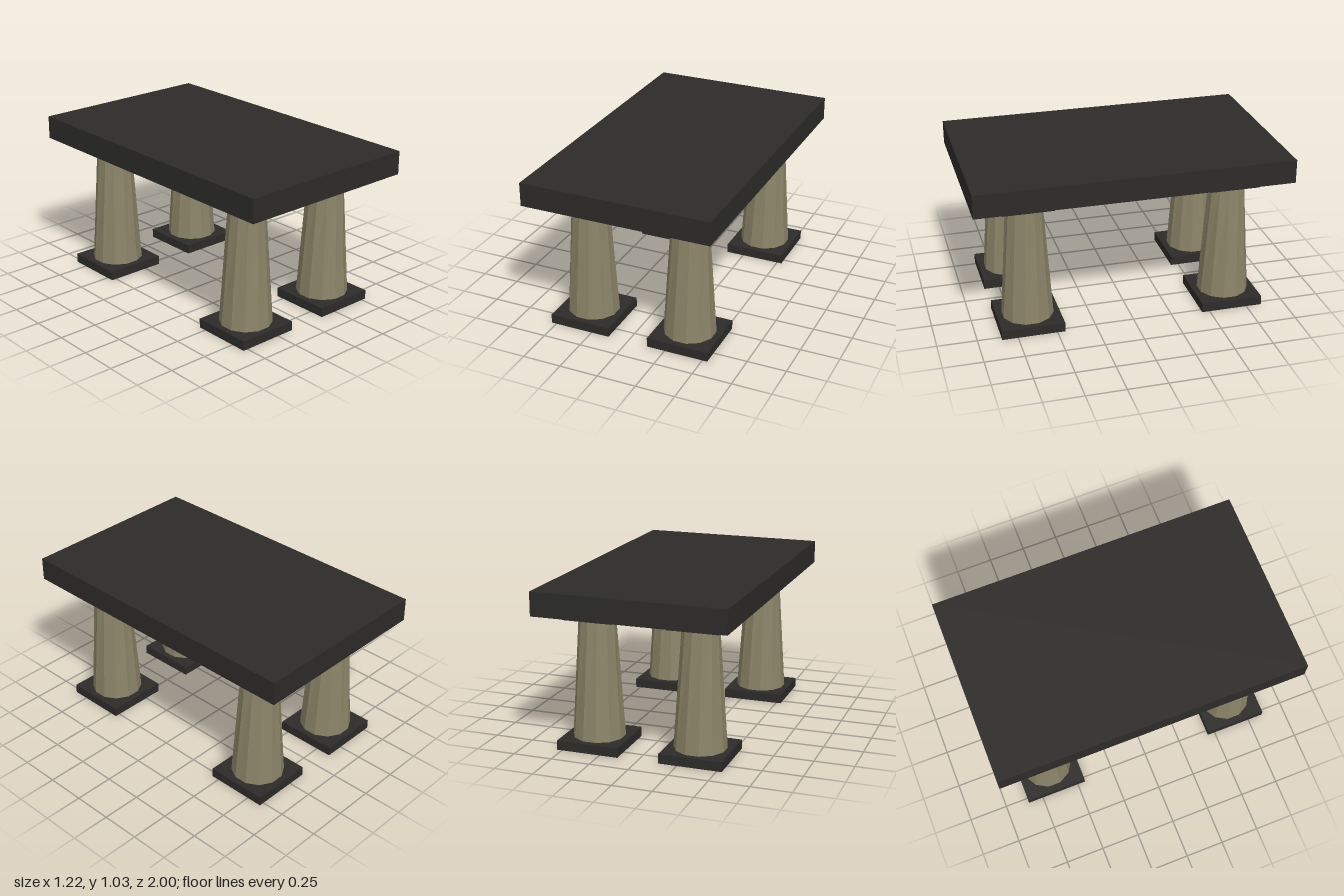
import * as THREE from 'three';

const dark = new THREE.MeshStandardMaterial({ color: 0x2c2b29, side: THREE.DoubleSide });
const stone = new THREE.MeshStandardMaterial({ color: 0x8c8468, flatShading: true });

function box(name, width, height, depth, bottom) {
  const mesh = new THREE.Mesh(new THREE.BoxGeometry(width, height, depth), dark);
  mesh.name = name;
  mesh.position.y = bottom + height / 2;
  return mesh;
}

// Tapered twelve-sided shaft whose top ring is turned slightly against its foot
function shaft() {
  const bottom = 0.06, top = 0.82, twist = THREE.MathUtils.degToRad(7);
  const geometry = new THREE.CylinderGeometry(0.114, 0.165, top - bottom, 12, 1, false, Math.PI / 12);
  const p = geometry.attributes.position;
  const v = new THREE.Vector3();
  const up = new THREE.Vector3(0, 1, 0);
  for (let i = 0; i < p.count; i++) {
    v.fromBufferAttribute(p, i);
    if (v.y > 0) v.applyAxisAngle(up, twist);
    p.setXYZ(i, v.x, v.y, v.z);
  }
  const mesh = new THREE.Mesh(geometry, stone);
  mesh.name = 'shaft';
  mesh.position.y = (bottom + top) / 2;
  return mesh;
}

// Foot plate, shaft and square capital
function column(name, x, z) {
  const group = new THREE.Group();
  group.name = name;
  group.add(
    box('footPlate', 0.4, 0.06, 0.4, 0),
    shaft(),
    box('capital', 0.32, 0.06, 0.32, 0.82)
  );
  group.position.set(x, 0, z);
  return group;
}

// Table slab: a hollow box, open underneath
function slab() {
  const mesh = box('slab', 1.215, 0.15, 2, 0.88);
  const index = Array.from(mesh.geometry.index.array);
  index.splice(18, 6); // drop the bottom face
  mesh.geometry.setIndex(index);
  mesh.geometry.clearGroups();
  return mesh;
}

export function createModel() {
  const model = new THREE.Group();
  model.name = 'stoneTable';
  model.add(slab());
  for (const [side, x] of [['Left', 0.332], ['Right', -0.332]]) {
    for (const [end, z] of [['front', 0.65], ['back', -0.65]]) {
      model.add(column(`${end}${side}Column`, x, z));
    }
  }
  return model;
}
